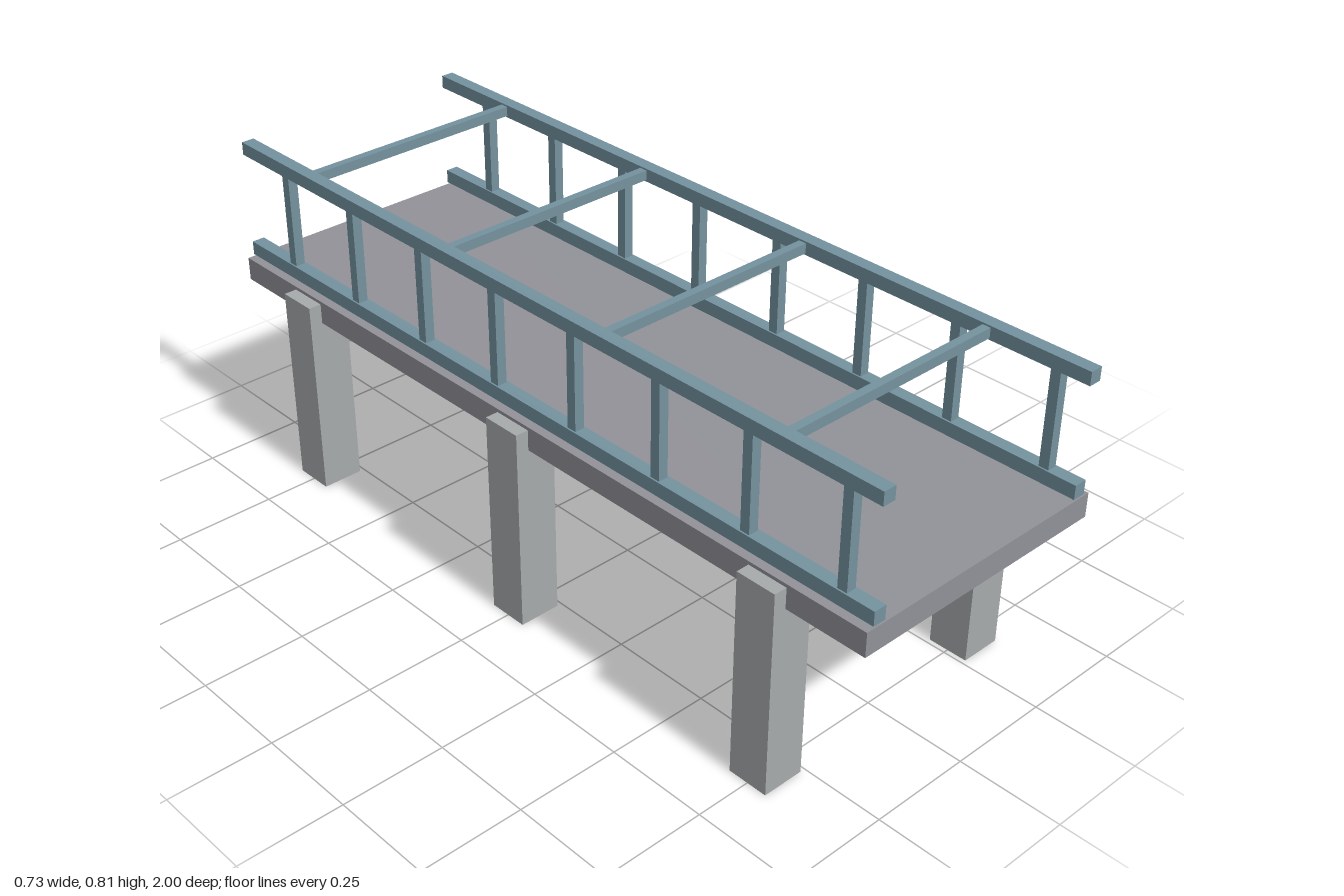
import * as THREE from 'three';

const deckMat = new THREE.MeshStandardMaterial({ color: 0x919298 });
const pillarMat = new THREE.MeshStandardMaterial({ color: 0xa6aaab });
const railMat = new THREE.MeshStandardMaterial({ color: 0x74929e });

export function createModel() {
  const model = new THREE.Group();
  model.name = 'footbridge';

  const box = (name, mat, [w, h, d], [x, y, z], parent = model) => {
    const mesh = new THREE.Mesh(new THREE.BoxGeometry(w, h, d), mat);
    mesh.name = name;
    mesh.position.set(x, y, z);
    parent.add(mesh);
  };

  // Walkway slab
  box('deck', deckMat, [0.666, 0.058, 2], [0, 0.479, 0]);

  for (const [side, s] of [['left', 1], ['right', -1]]) {
    // Square pillars, notched around the deck edge
    for (const z of [-0.75, 0, 0.75]) {
      box(side + 'Pillar', pillarMat, [0.103, 0.5, 0.1], [s * 0.3135, 0.25, z]);
    }

    // Railing: two long rails joined by upright posts
    const railing = new THREE.Group();
    railing.name = side + 'Railing';
    model.add(railing);
    box('bottomRail', railMat, [0.032, 0.034, 2], [s * 0.3, 0.53, 0], railing);
    box('topRail', railMat, [0.032, 0.032, 2], [s * 0.3, 0.793, 0], railing);
    for (let i = 0; i < 8; i++) {
      box('post', railMat, [0.024, 0.246, 0.024], [s * 0.3, 0.662, 0.917 - i * 0.25], railing);
    }
  }

  // Overhead ties between the two top rails
  for (let i = 0; i < 4; i++) {
    box('crossBar', railMat, [0.58, 0.024, 0.02], [0, 0.793, 0.746 - i * 0.5]);
  }

  return model;
}
